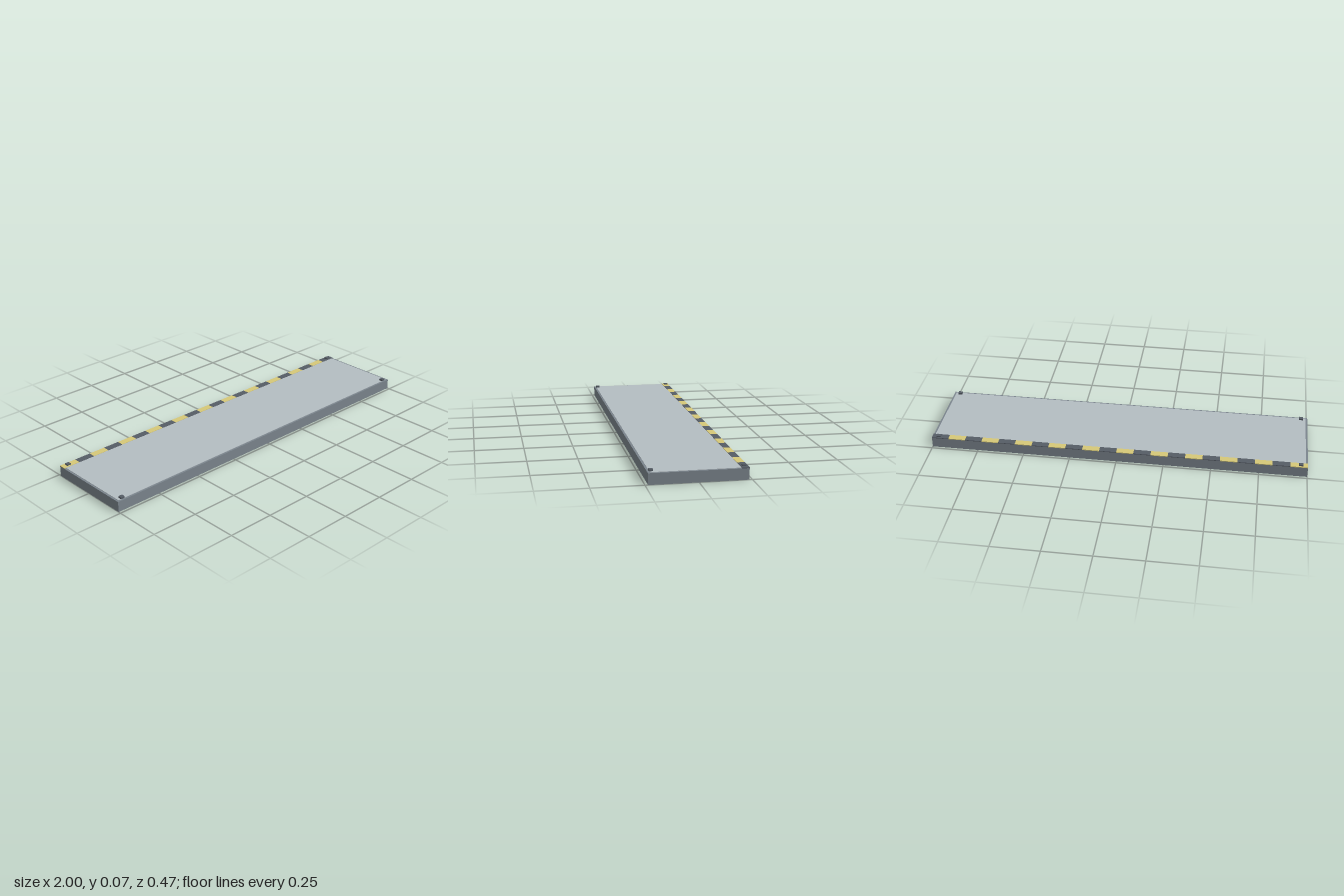
import * as THREE from 'three';

const paint = (color) => new THREE.MeshStandardMaterial({ color });

export function createModel() {
  const model = new THREE.Group();
  model.name = 'platform';
  const steel = paint(0x7b858d);
  const plate = paint(0xb4bdc2);
  const dark = paint(0x565d66);
  const yellow = paint(0xd6c878);

  // Box spanning y0 to y1, centred on x and z
  function box(name, parent, material, w, d, y0, y1, x = 0, z = 0) {
    const mesh = new THREE.Mesh(new THREE.BoxGeometry(w, y1 - y0, d), material);
    mesh.position.set(x, (y0 + y1) / 2, z);
    mesh.name = name;
    parent.add(mesh);
  }

  // Slab and the slightly inset walking surface
  box('slab', model, steel, 2, 0.472, 0, 0.055);
  box('deckPlate', model, plate, 1.98, 0.452, 0.053, 0.057);

  // Alternating warning stripes along the back edge
  const stripes = new THREE.Group();
  stripes.name = 'warningStripes';
  model.add(stripes);
  const count = 22;
  const width = 2 / count;
  for (let i = 0; i < count; i++) {
    box('stripe', stripes, i % 2 ? dark : yellow, width, 0.036, 0.055, 0.059,
      -1 + (i + 0.5) * width, -0.218);
  }

  // Square fixing blocks at the four corners
  const blocks = new THREE.Group();
  blocks.name = 'cornerBlocks';
  model.add(blocks);
  for (const x of [-0.965, 0.965]) {
    for (const z of [-0.218, 0.218]) {
      box('cornerBlock', blocks, dark, 0.022, 0.02, 0.057, 0.066, x, z);
    }
  }

  return model;
}
